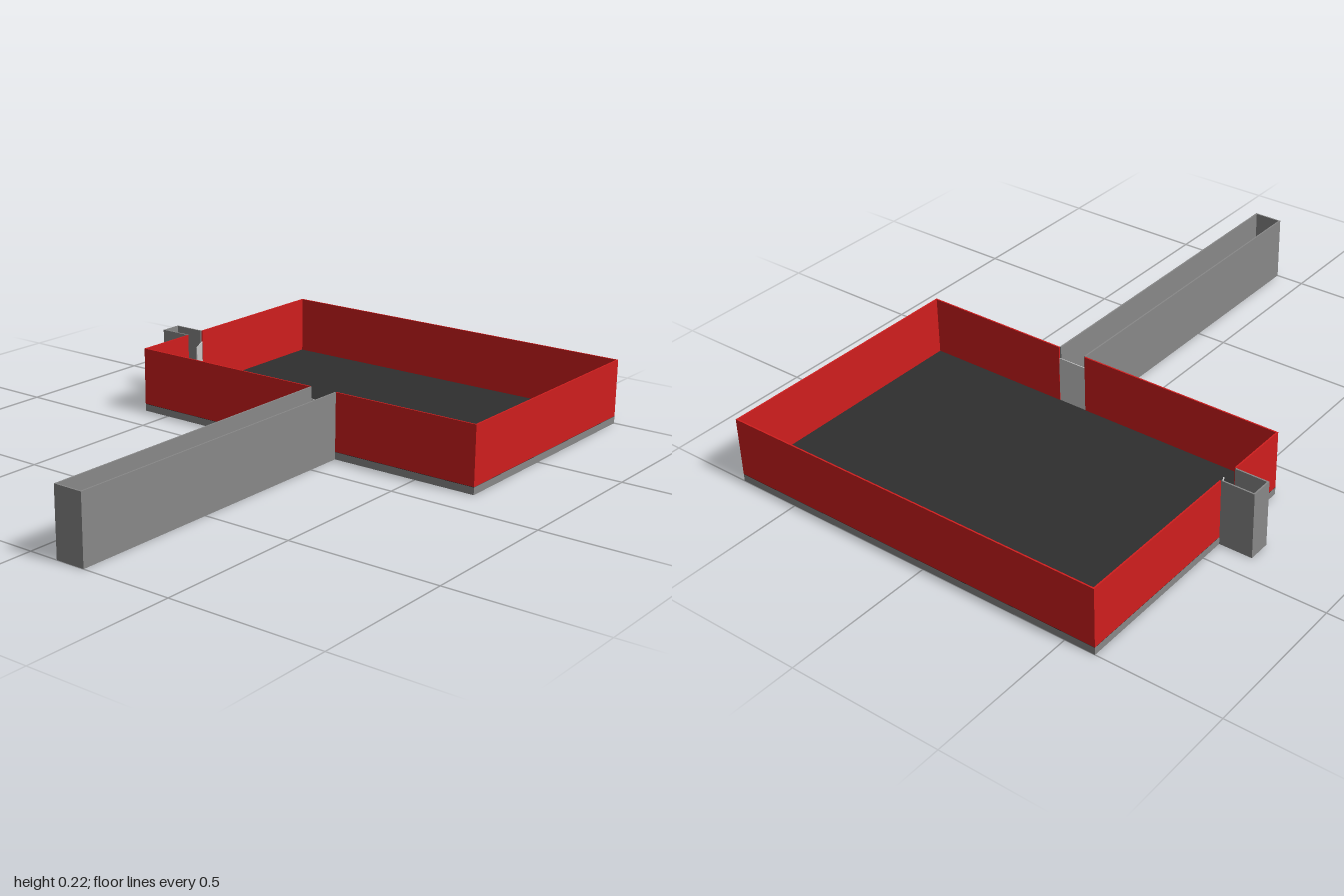
import * as THREE from 'three';

const GREY = new THREE.MeshStandardMaterial({ color: 0x888888 });
const RED = new THREE.MeshStandardMaterial({ color: 0xd01e1e });
const BLACK = new THREE.MeshStandardMaterial({ color: 0x2e2e2e });
const WHITE = new THREE.MeshStandardMaterial({ color: 0xffffff });

const T = 0.005;      // wall thickness
const FLOOR = 0.025;  // floor slab height
const TOP = 0.22;     // wall height

// Box given by its limits on each axis
function block(parent, name, material, [x0, x1], [y0, y1], [z0, z1]) {
  const mesh = new THREE.Mesh(new THREE.BoxGeometry(x1 - x0, y1 - y0, z1 - z0), material);
  mesh.position.set((x0 + x1) / 2, (y0 + y1) / 2, (z0 + z1) / 2);
  mesh.name = name;
  parent.add(mesh);
  return mesh;
}

export function createModel() {
  const model = new THREE.Group();
  const room = { x: [0.125, 1], z: [-0.6, 0.71] };
  const hall = { x: [-1, 0.125], z: [0.1, 0.2] };
  const nook = { x: [0.345, 0.42], z: [-0.71, -0.6] };
  const high = [FLOOR, TOP];

  // Main room: slab, dark floor covering, walls with two doorways
  const main = new THREE.Group();
  main.name = 'room';
  model.add(main);
  block(main, 'roomSlab', GREY, room.x, [0, FLOOR - 0.001], room.z);
  block(main, 'roomFloor', BLACK, room.x, [FLOOR - 0.001, FLOOR], room.z);
  block(main, 'frontWall', RED, room.x, high, [room.z[1] - T, room.z[1]]);
  block(main, 'leftWall', RED, [room.x[1] - T, room.x[1]], high, room.z);
  for (const x of [[room.x[0], nook.x[0]], [nook.x[1], room.x[1]]])
    block(main, 'backWall', RED, x, high, [room.z[0], room.z[0] + T]);
  for (const z of [[room.z[0], hall.z[0]], [hall.z[1], room.z[1]]])
    block(main, 'rightWall', RED, [room.x[0], room.x[0] + T], high, z);

  // Corridor, open towards the room
  const corridor = new THREE.Group();
  corridor.name = 'corridor';
  model.add(corridor);
  block(corridor, 'corridorFloor', GREY, hall.x, [0, FLOOR], hall.z);
  for (const z of [hall.z[0], hall.z[1] - T])
    block(corridor, 'corridorWall', GREY, hall.x, high, [z, z + T]);
  block(corridor, 'corridorEnd', GREY, [hall.x[0], hall.x[0] + T], high, hall.z);

  // Small alcove behind the back wall
  const alcove = new THREE.Group();
  alcove.name = 'alcove';
  model.add(alcove);
  block(alcove, 'alcoveFloor', GREY, nook.x, [0, FLOOR], nook.z);
  for (const x of [nook.x[0], nook.x[1] - T])
    block(alcove, 'alcoveWall', GREY, [x, x + T], high, nook.z);
  block(alcove, 'alcoveEnd', GREY, nook.x, high, [nook.z[0], nook.z[0] + T]);

  // Doors: one closed at the corridor, one ajar at the alcove
  block(model, 'corridorDoor', WHITE, [0.126, 0.129], [FLOOR, 0.18], hall.z);
  const hinge = new THREE.Group();
  hinge.name = 'alcoveDoor';
  hinge.position.set(nook.x[1], 0, room.z[0] + T / 2);
  hinge.rotation.y = 0.45;
  block(hinge, 'alcoveDoorPanel', WHITE, [-0.074, 0], [FLOOR, 0.18], [-0.0015, 0.0015]);
  model.add(hinge);

  return model;
}
